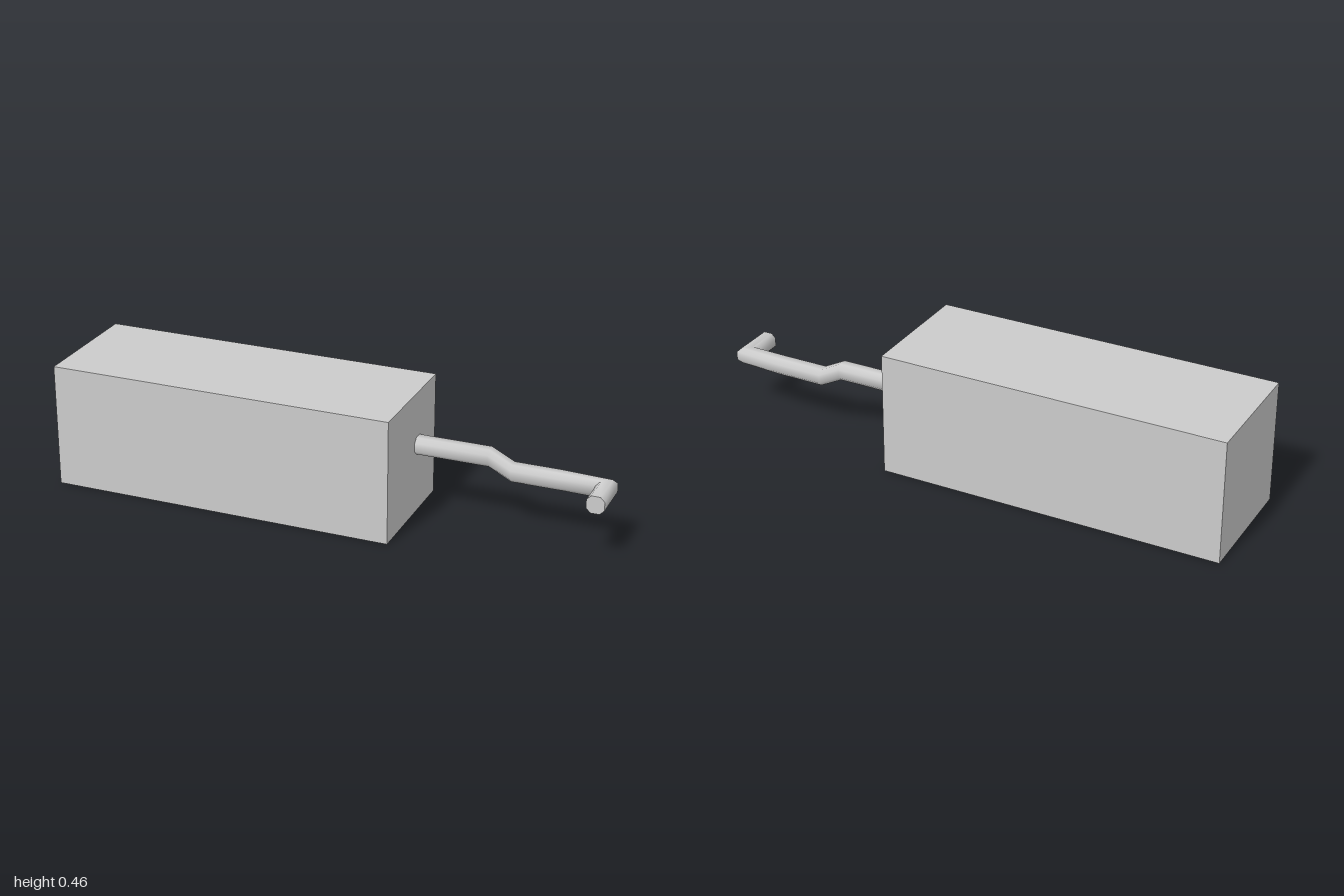
import * as THREE from 'three';
import { toCreasedNormals } from 'three/addons/utils/BufferGeometryUtils.js';

const material = new THREE.MeshStandardMaterial({ color: 0xcccccc });

// Square section with cut corners, in units of the rod's half width, counterclockwise
const section = [[1, -0.5], [1, 0.5], [0.5, 1], [-0.5, 1], [-1, 0.5], [-1, -0.5], [-0.5, -1], [0.5, -1]];

// Stations along the rod: centre, then the sideways half width as x and z (height is always along y)
const stations = [
  { at: [0.27, 0.257, -0.059], side: [0, -0.032] },
  { at: [0.548, 0.257, -0.059], side: [0, -0.032] },
  { at: [0.632, 0.214, -0.059], side: [0, -0.032] },
  { at: [0.8, 0.214, -0.059], side: [0, -0.032] },
  { at: [0.967, 0.214, -0.051], side: [0.033, -0.024] }, // mitred corner
  { at: [0.967, 0.214, 0.086], side: [0.032, 0] },
];

// Skin the stations and close both ends
function rodGeometry(halfHeight) {
  const n = section.length;
  const positions = [];
  const index = [];
  for (const { at, side } of stations) {
    for (const [u, v] of section) {
      positions.push(at[0] + u * side[0], at[1] + v * halfHeight, at[2] + u * side[1]);
    }
  }
  for (let i = 0; i < stations.length - 1; i++) {
    for (let j = 0; j < n; j++) {
      const a = i * n + j;
      const b = i * n + (j + 1) % n;
      index.push(a, b, a + n, b, b + n, a + n);
    }
  }
  const last = (stations.length - 1) * n;
  for (let j = 1; j < n - 1; j++) {
    index.push(0, j + 1, j);
    index.push(last, last + j, last + j + 1);
  }
  const geometry = new THREE.BufferGeometry();
  geometry.setAttribute('position', new THREE.Float32BufferAttribute(positions, 3));
  geometry.setIndex(index);
  return toCreasedNormals(geometry, THREE.MathUtils.degToRad(55));
}

export function createModel() {
  const group = new THREE.Group();

  // Solid block
  const block = new THREE.Mesh(new THREE.BoxGeometry(1.28, 0.458, 0.462), material);
  block.name = 'block';
  block.position.set(-0.36, 0.229, 0);
  group.add(block);

  // Stepped rod with a hooked end
  const rod = new THREE.Mesh(rodGeometry(0.032), material);
  rod.name = 'hookedRod';
  group.add(rod);

  return group;
}
